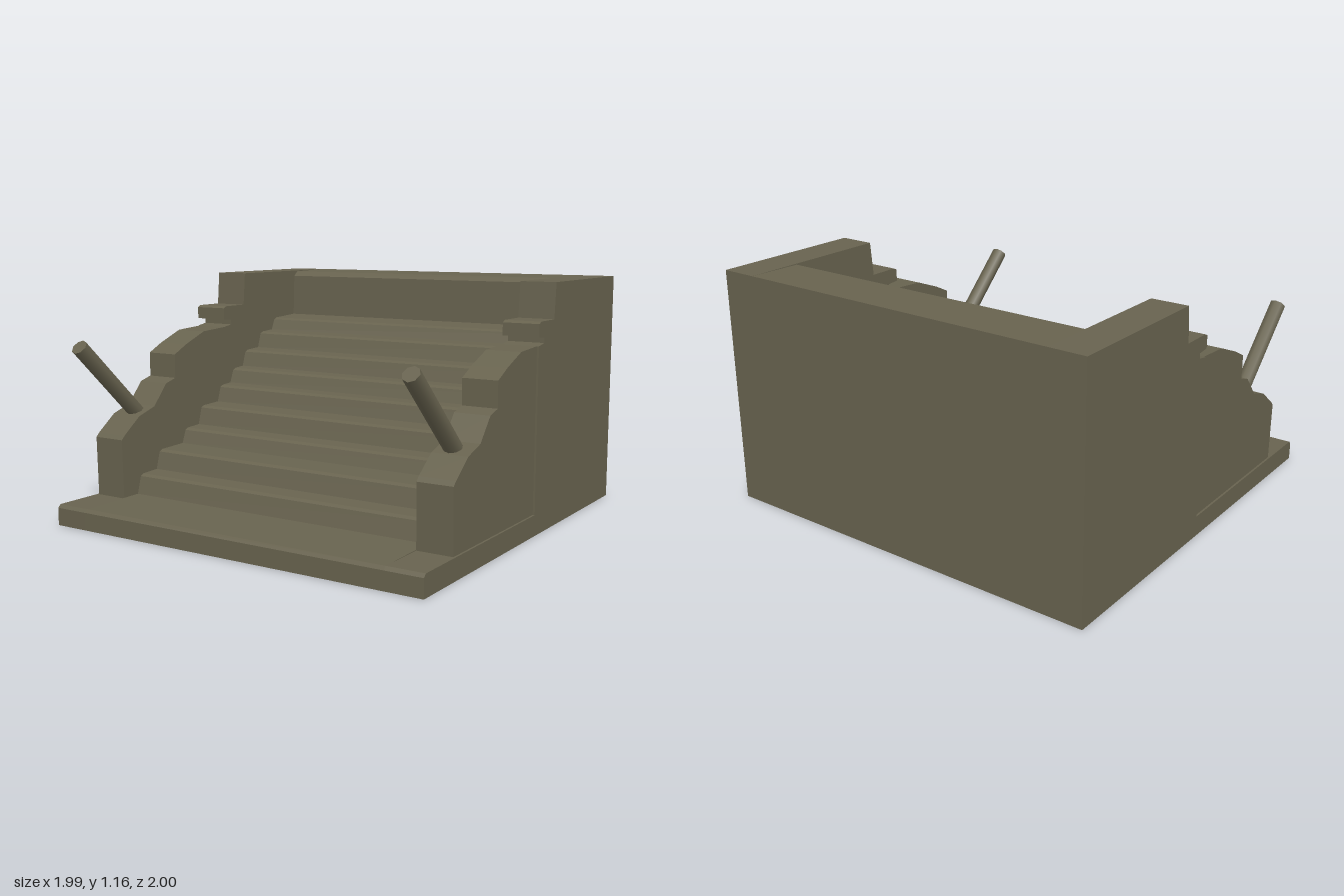
import * as THREE from 'three';

export function createModel() {
  const model = new THREE.Group();
  const stone = new THREE.MeshStandardMaterial({ color: 0x68634f });
  stone.name = 'dark stone';

  // Extrudes a side profile of [z, y] points from x0 to x1
  function slab(name, points, x0, x1) {
    const shape = new THREE.Shape(points.map(([z, y]) => new THREE.Vector2(-z, y)));
    const geometry = new THREE.ExtrudeGeometry(shape, { depth: x1 - x0, bevelEnabled: false });
    geometry.rotateY(Math.PI / 2);
    geometry.translate(x0, 0, 0);
    const mesh = new THREE.Mesh(geometry, stone);
    mesh.name = name;
    model.add(mesh);
  }

  // Staircase, front landing and back wall: each step is [riser z, nosing y]
  const steps = [
    [0.62, 0.2], [0.48, 0.3], [0.28, 0.38], [0.15, 0.48], [-0.01, 0.57],
    [-0.12, 0.65], [-0.23, 0.74], [-0.37, 0.83], [-0.5, 0.9],
  ];
  const stairs = [[1, 0], [1, 0.085], [0.985, 0.1]];
  let floor = 0.1;
  for (const [z, y] of steps) {
    stairs.push([z + 0.025, floor + 0.005], [z, y - 0.01], [z - 0.02, y]);
    floor = y;
  }
  stairs.push([-0.69, 0.91], [-0.7, 1.13], [-0.73, 1.155], [-1, 1.16], [-1, 0]);
  slab('staircase', stairs, -0.815, 0.815);

  // Stepped side walls, with the landing running out under them
  const rearWall = [
    [-0.05, 0], [-0.05, 0.88], [-0.11, 0.89], [-0.11, 0.915], [-0.05, 0.92],
    [-0.05, 0.98], [-0.07, 0.99], [-0.22, 0.99], [-0.235, 1.16], [-1, 1.16], [-1, 0],
  ];
  const frontWall = [
    [0.74, 0.1], [0.745, 0.39], [0.725, 0.41], [0.62, 0.49], [0.51, 0.525],
    [0.42, 0.63], [0.35, 0.65], [0.35, 0.77], [0.26, 0.815], [0.12, 0.87],
    [-0.05, 0.88], [-0.05, 0.1],
  ];
  const landing = [[1, 0], [1, 0.085], [0.985, 0.1], [-0.05, 0.1], [-0.05, 0]];
  for (const side of [1, -1]) {
    const label = side > 0 ? 'left' : 'right';
    const add = (name, points, a, b) =>
      slab(label + name, points, Math.min(a * side, b * side), Math.max(a * side, b * side));
    add('RearWall', rearWall, 0.815, 0.995);
    add('FrontWall', frontWall, 0.815, 0.985);
    add('Landing', landing, 0.815, 0.995);

    // Slanted post leaning forward out of the wall
    const low = new THREE.Vector3(0.89 * side, 0.44, 0.5);
    const high = new THREE.Vector3(0.89 * side, 0.855, 0.928);
    const dir = high.clone().sub(low);
    const post = new THREE.Mesh(new THREE.CylinderGeometry(0.04, 0.04, dir.length(), 8), stone);
    post.position.copy(low).add(high).multiplyScalar(0.5);
    post.quaternion.setFromUnitVectors(new THREE.Vector3(0, 1, 0), dir.normalize());
    post.name = label + 'Post';
    model.add(post);
  }
  return model;
}
